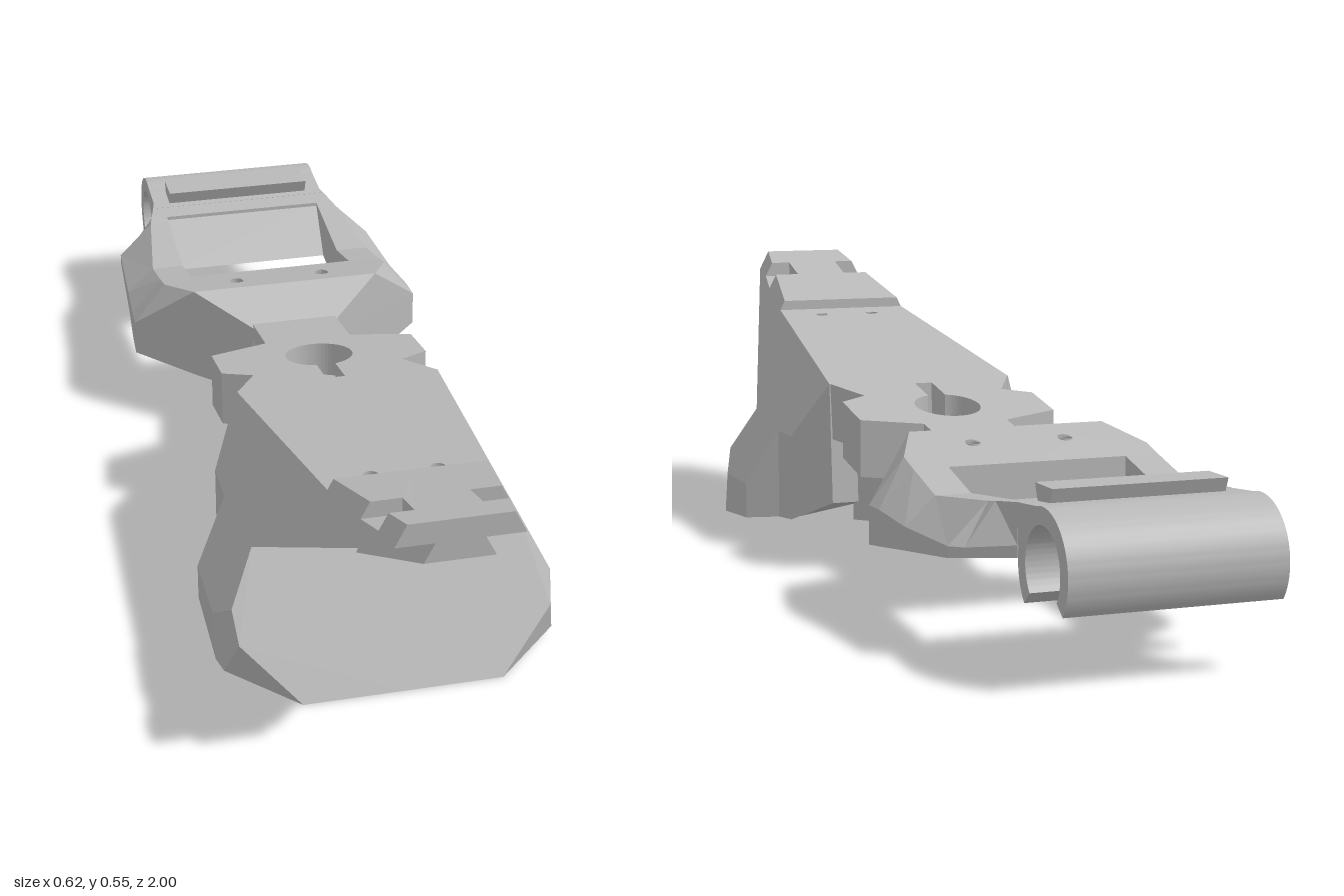
import * as THREE from 'three';
import { toCreasedNormals } from 'three/addons/utils/BufferGeometryUtils.js';

const grey = new THREE.MeshStandardMaterial({ color: 0xb9b9b9, side: THREE.DoubleSide });
grey.name = 'plain grey';

// Collects flat polygons (with optional holes) and mirrors them across x = 0
class Half {
  constructor() { this.v = []; }
  poly(pts, holes = []) {
    const n = [0, 0, 0];
    pts.forEach((p, i) => {
      const q = pts[(i + 1) % pts.length];
      for (let k = 0; k < 3; k++) {
        const a = (k + 1) % 3, b = (k + 2) % 3;
        n[k] += (p[a] - q[a]) * (p[b] + q[b]);
      }
    });
    const m = n.map(Math.abs), k = m.indexOf(Math.max(...m));
    const flat = (l) => l.map((p) => new THREE.Vector2(p[(k + 1) % 3], p[(k + 2) % 3]));
    const all = [pts, ...holes].flat();
    for (const t of THREE.ShapeUtils.triangulateShape(flat(pts), holes.map(flat))) {
      for (const i of t) this.v.push(...all[i]);
      for (const i of [t[0], t[2], t[1]]) this.v.push(-all[i][0], all[i][1], all[i][2]);
    }
    return this;
  }
  // Joins matching cross-sections; skip lists the strips left open
  loft(sections, skip = [], caps = true) {
    for (let s = 0; s + 1 < sections.length; s++) {
      const a = sections[s], b = sections[s + 1];
      for (let j = 0; j < a.length; j++) {
        if (skip.includes(j)) continue;
        const h = (j + 1) % a.length;
        this.poly([a[j], a[h], b[h]]).poly([a[j], b[h], b[j]]);
      }
    }
    return caps ? this.poly(sections[0]).poly(sections.at(-1)) : this;
  }
  geometry() {
    const g = new THREE.BufferGeometry();
    g.setAttribute('position', new THREE.Float32BufferAttribute(this.v, 3));
    g.computeVertexNormals();
    return g;
  }
}

// Extrudes a (z, y) shape across the width
function across(shape, width) {
  const s = Array.isArray(shape) ? new THREE.Shape(shape.map((p) => new THREE.Vector2(...p))) : shape;
  const g = new THREE.ExtrudeGeometry(s, { depth: width, bevelEnabled: false, curveSegments: 32 });
  return g.translate(0, 0, -width / 2).rotateY(-Math.PI / 2);
}

const circle = (x, z, r, y) => Array.from({ length: 16 }, (_, i) => {
  const a = (i / 16) * Math.PI * 2, pz = z + r * Math.sin(a);
  return [x + r * Math.cos(a), y(pz), pz];
});
const deckY = (z) => 0.34 + 0.1 * (z - 0.19) / 0.52;
const baseY = (z) => 0.084 - 0.12 * z;

function bodyGeometry() {
  const b = new Half();
  // Nose, deck and side corners
  const A = [0.085, 0.55, 1], B = [0.131, 0.46, 0.71], C = [0.141, 0.44, 0.71], D = [0.192, 0.34, 0.19];
  const E = [0.105, 0.51, 1], G = [0.24, 0.245, 0.56], H = [0.286, 0.155, 0.61], I = [0.28, 0.1, 0.643];
  const J = [0.18, 0, 0.7], K = [0.25, 0.226, 0.27], L = [0.25, 0.226, 0.36], M = [0.25, 0.045, 0.36];
  const N = [0.25, 0.055, 0.27], O = [0.19, 0.1, 0.18], P = [0.309, 0.11, 0.55], P0 = [0.309, 0.11, 0.4];
  const Q = [0.309, 0.025, 0.57], Q0 = [0.309, 0.04, 0.4], R = [0.3, 0.02, 0.6];
  // Nose notch corners
  const n1 = [0.096, 0.528, 0.93], n2 = [0.107, 0.5065, 0.86], m1 = [0.1115, 0.498, 0.93], m2 = [0.1225, 0.4765, 0.86];
  const inner = (p) => [0.055, p[1], p[2]], mid = (p) => [0, p[1], p[2]];
  b.poly([mid(A), A, n1, inner(n1), inner(n2), n2, B, mid(B)]);
  b.poly([m1, m2, inner(m2), inner(m1)]).poly([inner(n1), inner(n2), inner(m2), inner(m1)]);
  b.poly([n1, m1, inner(m1), inner(n1)]).poly([n2, m2, inner(m2), inner(n2)]);
  b.poly([mid(B), B, C, mid(C)]);
  b.poly([mid(C), C, D, mid(D)], [circle(0.058, 0.67, 0.014, deckY)]);
  b.poly([A, n1, m1, m2, n2, B, C, D, K, L, P0, P, H, G, E]);
  b.poly([mid(A), A, E, mid(E)]).poly([mid(E), E, G, mid(G)]);
  b.poly([mid(G), G, H, I, J, mid(J)]);
  // Corner chamfers and flanks
  b.poly([H, P, Q, R, I]).poly([I, R, J]).poly([P0, P, Q, Q0]);
  b.poly([L, P0, Q0, M]).poly([K, L, M, N]).poly([D, K, N, O]).poly([mid(D), D, O, mid(O)]);
  // Underside rim and hollow
  const rim = [[0, 0.012, 0.62], [0.12, 0.012, 0.62], [0.22, 0.03, 0.54], [0.22, 0.055, 0.3], [0.14, 0.09, 0.21], [0, 0.09, 0.21]];
  const roof = [[0, 0.25, 0.47], [0.06, 0.25, 0.47], [0.11, 0.25, 0.42], [0.11, 0.25, 0.32], [0.08, 0.25, 0.26], [0, 0.25, 0.26]];
  b.poly([mid(J), J, R, Q, Q0, M, N, O, mid(O), ...[...rim].reverse()]);
  b.loft([rim, roof], [5], false).poly(roof);
  return b.geometry();
}

function deckGeometry() {
  const side = [[0.19, 0.19], [0.145, 0.11], [0.2, 0.08], [0.2, -0.03], [0.085, -0.07], [0.085, -0.2]];
  const outline = [...side, ...side.map(([x, z]) => [-x, z]).reverse()];
  const s = new THREE.Shape(outline.map((p) => new THREE.Vector2(...p)));
  // Keyhole
  const k = new THREE.Path();
  k.moveTo(0.018, 0.17).lineTo(-0.018, 0.17);
  k.absarc(0, 0.03, 0.065, 1.85, 1.29 + Math.PI * 2, false);
  s.holes.push(k);
  const g = new THREE.ExtrudeGeometry(s, { depth: 0.11, bevelEnabled: false, curveSegments: 28 });
  g.rotateX(Math.PI / 2);
  const p = g.attributes.position;
  for (let i = 0; i < p.count; i++) p.setY(i, p.getY(i) + deckY(p.getZ(i)));
  g.computeVertexNormals();
  return g;
}

function frameGeometry() {
  const f = new Half();
  // Cross-section: inner x, z, top x, top y, flank x, flank y
  const sec = (xi, z, xt, yt, xm, ym) => [[xi, yt, z], [xt, yt, z], [xm, ym, z], [xm, baseY(z), z], [xi, baseY(z), z]];
  const rows = [
    [-0.19, 0.085, 0.26, 0.086, 0.2], [-0.28, 0.19, 0.31, 0.192, 0.22], [-0.38, 0.235, 0.282, 0.3, 0.2],
    [-0.43, 0.235, 0.268, 0.298, 0.2], [-0.54, 0.235, 0.24, 0.29, 0.19], [-0.72, 0.21, 0.26, 0.28, 0.19],
    [-0.74, 0.205, 0.263, 0.258, 0.19], [-0.8, 0.19, 0.27, 0.191, 0.2]];
  const part = (xi, a, b) => rows.slice(a, b).map((r) => sec(xi, ...r));
  f.loft(part(0, 0, 2), [4]);
  const front = part(0, 1, 4);
  f.loft(front, [0, 3, 4]);
  // Top and bottom faces with screw holes
  const face = (i, j) => [...front.map((s) => s[i]), ...front.map((s) => s[j]).reverse()];
  f.poly(face(0, 1), [circle(0.09, -0.34, 0.014, (z) => 0.31 + 0.28 * (z + 0.28))]);
  f.poly(face(4, 3), [circle(0.09, -0.34, 0.03, baseY)]);
  f.loft(part(0.17, 3, 7)).loft(part(0, 6, 8), [4]);
  return f.geometry();
}

function hookGeometry() {
  const s = new THREE.Shape(), a = -0.75, b = Math.PI * 1.2;
  s.absarc(-0.9, 0.18, 0.1, a, b, false);
  s.absarc(-0.9, 0.18, 0.07, b, a, true);
  return toCreasedNormals(across(s, 0.38), 0.5);
}

export function createModel() {
  const group = new THREE.Group();
  const add = (name, geometry) => {
    const m = new THREE.Mesh(geometry, grey);
    m.name = name;
    group.add(m);
    return m;
  };
  add('body', bodyGeometry());
  // Dovetail rail under the nose
  add('dovetailRail', new Half().loft([
    [[0, 0.51, 1], [0.04, 0.51, 1], [0.058, 0.475, 1], [0, 0.475, 1]],
    [[0, 0.245, 0.56], [0.04, 0.245, 0.56], [0.058, 0.217, 0.576], [0, 0.217, 0.576]]], [3]).geometry());
  add('neckDeck', deckGeometry());
  // Deep web below the deck, also the keyhole floor
  const web = (z, x) => [[0, deckY(z) - 0.07, z], [x, deckY(z) - 0.07, z], [x, baseY(z), z], [0, baseY(z), z]];
  add('neckWeb', new Half().loft([web(0.2, 0.14), web(-0.07, 0.085), web(-0.2, 0.085)], [3]).geometry());
  add('rearFrame', frameGeometry());
  add('windowSlope', across([[-0.745, 0.262], [-0.745, 0.173], [-0.67, 0.165]], 0.34));
  add('hook', hookGeometry());
  add('hookRoot', across([[-0.78, 0.268], [-0.9, 0.279], [-0.86, 0.242], [-0.8, 0.2]], 0.38));
  add('topBar', across([[-0.8, 0.26], [-0.785, 0.298], [-0.855, 0.298], [-0.84, 0.26]], 0.31));
  // Screw hole walls
  for (const s of [-1, 1]) {
    add('rearScrewHole', new THREE.CylinderGeometry(0.014, 0.03, 0.17, 16, 1, true)).position.set(s * 0.09, 0.208, -0.34);
    add('deckScrewHole', new THREE.CylinderGeometry(0.014, 0.014, 0.1, 16, 1, true)).position.set(s * 0.058, 0.382, 0.67);
  }
  return group;
}
